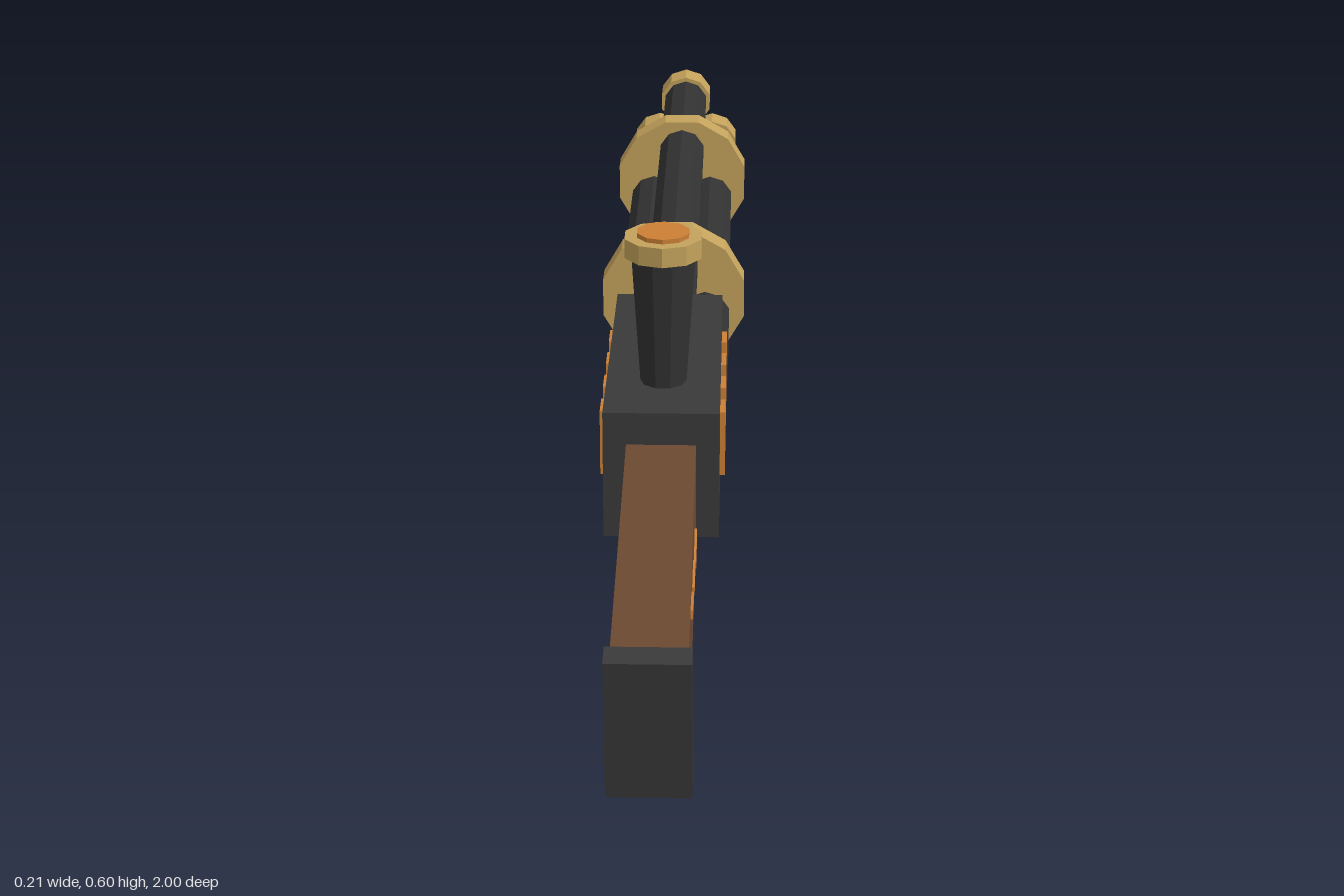
import * as THREE from 'three';

const mat = (name, color) => {
  const m = new THREE.MeshStandardMaterial({ color, flatShading: true });
  m.name = name;
  return m;
};

export function createModel() {
  const root = new THREE.Group();
  root.name = 'tripleBarrelGun';
  const iron = mat('dark iron', 0x393939);
  const barrelIron = mat('barrel iron', 0x323232);
  const brass = mat('brass', 0xc4a25c);
  const copper = mat('copper', 0xcb7f35);
  const wood = mat('wood', 0x6b4831);
  const darkWood = mat('dark wood', 0x5f3f2f);

  const add = (name, geo, material, x, y, z, tilt = 0) => {
    const m = new THREE.Mesh(geo, material);
    m.name = name;
    m.position.set(x, y, z);
    m.rotation.x = tilt;
    root.add(m);
    return m;
  };
  const box = (name, material, size, pos, tilt) =>
    add(name, new THREE.BoxGeometry(...size), material, ...pos, tilt);
  // cylinder lying along z, with its facets turned by spin
  const rod = (name, material, r, len, sides, pos, spin = 0) =>
    add(name, new THREE.CylinderGeometry(r, r, len, sides).rotateY(spin).rotateX(Math.PI / 2), material, ...pos);

  // receiver with glowing vents on both sides
  box('receiver', iron, [0.15, 0.175, 0.42], [0, 0.3025, 0.295]);
  for (const side of [-1, 1]) {
    for (let i = 0; i < 4; i++) {
      box('vent', copper, [0.009, 0.09, 0.042], [side * 0.0775, 0.319, 0.18 + i * 0.08]);
    }
  }

  // three barrels in a triangle, each with a muzzle collar and core
  const axisY = 0.31;
  for (let i = 0; i < 3; i++) {
    const a = Math.PI / 2 + i * Math.PI * 2 / 3;
    const x = Math.cos(a) * 0.055, y = axisY + Math.sin(a) * 0.055;
    rod('barrel', barrelIron, 0.038, 1.09, 10, [x, y, -0.43]);
    rod('muzzleCollar', brass, 0.045, 0.053, 10, [x, y, -0.9685]);
    rod('muzzleCore', copper, 0.031, 0.02, 10, [x, y, -0.99]);
  }

  // brass bands around the barrels
  for (const z of [-0.128, -0.673]) {
    rod('barrelBand', brass, 0.11, 0.043, 12, [0, axisY, z], Math.PI / 12);
  }

  // fore grip with a brass ring at each end
  rod('foreGrip', darkWood, 0.057, 0.305, 8, [0, 0.213, -0.392], Math.PI / 8);
  for (const z of [-0.243, -0.541]) {
    add('foreGripRing', new THREE.TorusGeometry(0.053, 0.009, 6, 12), brass, 0, 0.213, z);
  }

  // funnel on top of the receiver
  add('funnel', new THREE.CylinderGeometry(0.042, 0.03, 0.19, 10).rotateY(Math.PI / 10), barrelIron, 0, 0.478, 0.395);
  add('funnelCollar', new THREE.CylinderGeometry(0.052, 0.052, 0.026, 10), brass, 0, 0.579, 0.395);
  add('funnelCore', new THREE.CylinderGeometry(0.035, 0.035, 0.016, 10), copper, 0, 0.59, 0.395);

  // stock, butt plate and grip
  box('stock', wood, [0.09, 0.15, 0.485], [0, 0.242, 0.715], 0.134);
  box('buttPlate', iron, [0.1, 0.19, 0.032], [0, 0.213, 0.971], 0.134);
  box('grip', wood, [0.07, 0.24, 0.101], [0, 0.13, 0.362], -0.32);

  // copper scratches on the left face of the stock
  for (const [y, z, tilt] of [[0.286, 0.825, -0.1], [0.269, 0.722, 0.13], [0.252, 0.61, 0.36]]) {
    box('stockMark', copper, [0.005, 0.011, 0.058], [0.0455, y, z], tilt);
  }

  // trigger and its guard
  box('trigger', barrelIron, [0.015, 0.035, 0.02], [0, 0.203, 0.235]);
  box('triggerGuard', barrelIron, [0.022, 0.011, 0.134], [0, 0.182, 0.233]);

  return root;
}
